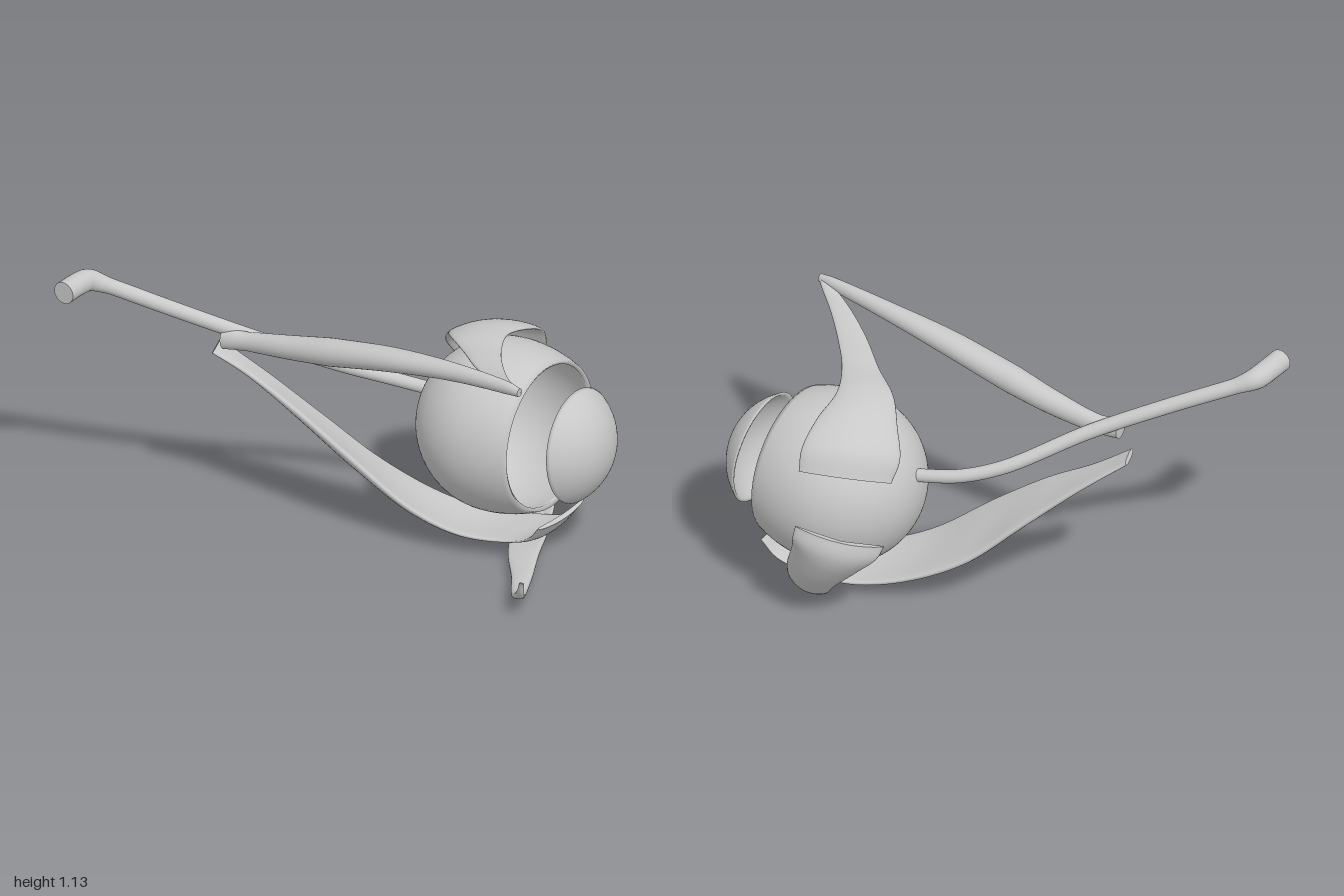
import * as THREE from 'three';

const tissue = new THREE.MeshStandardMaterial({ color: 0xc8c8c8 });
tissue.name = 'light grey';
const V = (p) => new THREE.Vector3(...p);
const GLOBE = V([0.30, 0.525, 0.49]);

function addMesh(group, name, geometry) {
  const mesh = new THREE.Mesh(geometry, tissue);
  mesh.name = name;
  group.add(mesh);
  return mesh;
}

// Muscle band swept through sections [edge, edge, half thickness, outward bow]
function band(sections, power = 0.7, steps = 56, ring = 28) {
  const c0 = new THREE.CatmullRomCurve3(sections.map((s) => V(s[0])), false, 'centripetal');
  const c1 = new THREE.CatmullRomCurve3(sections.map((s) => V(s[1])), false, 'centripetal');
  const mid = (t) => c0.getPoint(t).add(c1.getPoint(t)).multiplyScalar(0.5);
  const frame = (t, flip) => {
    const m = mid(t);
    const w = c1.getPoint(t).sub(c0.getPoint(t)).multiplyScalar(flip * 0.5);
    const tan = mid(Math.min(1, t + 0.01)).sub(mid(Math.max(0, t - 0.01)));
    return { m, w, n: tan.cross(w).normalize() };
  };
  // Keep the bowed face pointing away from the eyeball
  const test = frame(0.5, 1);
  const flip = test.n.dot(test.m.clone().sub(GLOBE)) > 0 ? 1 : -1;
  const pos = [], idx = [];
  for (let i = 0; i <= steps; i++) {
    const t = i / steps, f = t * (sections.length - 1);
    const k = Math.min(Math.floor(f), sections.length - 2);
    const mix = (q) => THREE.MathUtils.lerp(sections[k][q], sections[k + 1][q], f - k);
    const { m, w, n } = frame(t, flip);
    for (let j = 0; j < ring; j++) {
      const a = (j / ring) * Math.PI * 2, s = Math.sin(a);
      const lift = mix(2) * Math.sign(s) * Math.abs(s) ** power + mix(3) * s * s;
      const p = m.clone().addScaledVector(w, Math.cos(a)).addScaledVector(n, lift);
      pos.push(p.x, p.y, p.z);
      if (i < steps) {
        const A = i * ring + j, B = i * ring + ((j + 1) % ring);
        idx.push(A, B, A + ring, B, B + ring, A + ring);
      }
    }
  }
  // End caps with their own vertices
  for (const end of [0, steps]) {
    const base = pos.length / 3;
    pos.push(...pos.slice(end * ring * 3, (end + 1) * ring * 3));
    const { m, n } = frame(end / steps, flip);
    m.addScaledVector(n, sections[end ? sections.length - 1 : 0][3] * 0.8);
    pos.push(m.x, m.y, m.z);
    for (let j = 0; j < ring; j++) {
      const a = base + j, b = base + ((j + 1) % ring);
      idx.push(base + ring, ...(end ? [a, b] : [b, a]));
    }
  }
  const g = new THREE.BufferGeometry();
  g.setAttribute('position', new THREE.Float32BufferAttribute(pos, 3));
  g.setIndex(idx);
  g.computeVertexNormals();
  return g;
}

// Eyeball: hollow shell open at the front
function globeShell() {
  const pts = [];
  const arc = (r, reverse) => {
    for (let i = 0; i <= 40; i++) {
      const k = reverse ? 40 - i : i;
      const a = -Math.PI / 2 + (k / 40) * (Math.PI / 2 + 0.51);
      const y = Math.sin(a) * (a > 0 ? r * 1.27 : r);
      pts.push(new THREE.Vector2(Math.max(0, Math.cos(a) * r), y));
    }
  };
  arc(0.357, false);
  arc(0.34, true);
  return new THREE.LatheGeometry(pts, 64).rotateX(Math.PI / 2);
}

// Cornea: thin dome
function corneaDome() {
  const pts = [];
  const dome = (r, h, reverse) => {
    const R = (r * r + h * h) / (2 * h), span = Math.asin(r / R);
    for (let i = 0; i <= 20; i++) {
      const a = span * (reverse ? 1 - i / 20 : i / 20);
      pts.push(new THREE.Vector2(R * Math.sin(a), h - R + R * Math.cos(a)));
    }
  };
  dome(0.225, 0.112, false);
  dome(0.238, 0.13, true);
  return new THREE.LatheGeometry(pts, 56).rotateX(Math.PI / 2);
}

export function createModel() {
  const model = new THREE.Group();
  model.name = 'eyeAnatomy';

  const globe = addMesh(model, 'eyeball', globeShell());
  globe.position.copy(GLOBE);
  globe.rotation.set(-0.04, 0.05, 0);

  const cornea = addMesh(model, 'cornea', corneaDome());
  cornea.position.set(0.318, 0.535, 0.85);
  cornea.rotation.set(-0.095, 0.065, 0);
  addMesh(model, 'centrePoint', new THREE.SphereGeometry(0.004, 8, 6)).position.set(0.315, 0.525, 0.785);

  // Optic nerve: a tube that thickens towards its bent end
  const path = new THREE.CatmullRomCurve3([
    [0.24, 0.612, 0.21], [0.215, 0.62, 0.14], [0.16, 0.642, 0], [0.06, 0.69, -0.15], [-0.17, 0.83, -0.4],
    [-0.36, 0.955, -0.66], [-0.525, 1.067, -0.905], [-0.565, 1.088, -0.945], [-0.62, 1.093, -0.953], [-0.722, 1.093, -0.953],
  ].map(V), false, 'centripetal');
  const nerve = new THREE.TubeGeometry(path, 120, 1, 24);
  const pos = nerve.attributes.position, p = new THREE.Vector3();
  for (let i = 0; i < pos.count; i++) {
    const t = nerve.attributes.uv.getX(i), c = path.getPointAt(t);
    const r = 0.027 + 0.006 * t + 0.014 * THREE.MathUtils.smoothstep(t, 0.84, 0.92);
    p.fromBufferAttribute(pos, i).sub(c).multiplyScalar(r).add(c);
    pos.setXYZ(i, p.x, p.y, p.z);
  }
  nerve.computeVertexNormals();
  addMesh(model, 'opticNerve', nerve);
  addMesh(model, 'nerveRoot', new THREE.SphereGeometry(0.027, 20, 14)).position.set(0.24, 0.612, 0.21);
  const cap = addMesh(model, 'nerveEnd', new THREE.CircleGeometry(0.047, 24));
  cap.position.set(-0.722, 1.093, -0.953);
  cap.rotation.y = -Math.PI / 2;

  // Upper oblique muscle: tendon over the globe, then a belly running back
  addMesh(model, 'upperObliqueTendon', band([
    [[0.42, 0.69, 0.15], [0.625, 0.74, 0.46], 0.012, 0.04],
    [[0.36, 0.77, 0.15], [0.585, 0.82, 0.475], 0.015, 0.045],
    [[0.28, 0.86, 0.22], [0.46, 0.89, 0.49], 0.016, 0.03],
    [[0.18, 0.915, 0.31], [0.31, 0.93, 0.5], 0.014, 0.015],
    [[0.08, 0.935, 0.45], [0.16, 0.94, 0.58], 0.012, 0.005],
    [[-0.04, 0.965, 0.60], [0.02, 0.955, 0.70], 0.012, 0],
    [[-0.13, 0.995, 0.74], [-0.095, 0.985, 0.82], 0.012, 0],
    [[-0.195, 1.02, 0.87], [-0.165, 1.015, 0.91], 0.014, 0],
    [[-0.22, 1.035, 0.92], [-0.195, 1.03, 0.945], 0.012, 0],
  ]));
  const belly = [
    [-0.205, 1.03, 0.945, 0.016, 0.018], [-0.2, 1.03, 0.88, 0.022, 0.027], [-0.193, 1.01, 0.6, 0.038, 0.038],
    [-0.198, 0.97, 0.3, 0.056, 0.05], [-0.205, 0.91, 0, 0.058, 0.058], [-0.212, 0.87, -0.2, 0.048, 0.05],
    [-0.23, 0.84, -0.4, 0.034, 0.04], [-0.258, 0.835, -0.495, 0.032, 0.045],
  ];
  addMesh(model, 'upperObliqueBelly', band(
    belly.map(([x, y, z, rx, ry]) => [[x - rx, y, z], [x + rx, y, z], ry, 0]), 1));

  // Lower oblique muscle: sweeps under the globe and up its side
  addMesh(model, 'lowerObliqueMuscle', band([
    [[-0.258, 0.2, 0.995], [-0.235, 0.19, 0.98], 0.01, 0],
    [[-0.215, 0.125, 0.975], [-0.22, 0.12, 0.935], 0.014, 0],
    [[-0.13, 0.075, 0.92], [-0.16, 0.07, 0.87], 0.016, 0],
    [[0.02, 0.06, 0.84], [-0.02, 0.05, 0.765], 0.018, 0],
    [[0.2, 0.06, 0.74], [0.15, 0.035, 0.62], 0.018, 0.005],
    [[0.37, 0.075, 0.66], [0.33, 0.03, 0.50], 0.018, 0.015],
    [[0.51, 0.14, 0.59], [0.47, 0.09, 0.42], 0.018, 0.025],
    [[0.62, 0.28, 0.52], [0.55, 0.2, 0.33], 0.016, 0.035],
    [[0.685, 0.42, 0.45], [0.55, 0.32, 0.21], 0.014, 0.05],
    [[0.71, 0.48, 0.43], [0.52, 0.38, 0.15], 0.012, 0.055],
    [[0.705, 0.535, 0.42], [0.49, 0.43, 0.135], 0.009, 0.055],
  ]));

  // Lower straight muscle: cradles the globe and runs back to the socket
  addMesh(model, 'lowerStraightMuscle', band([
    [[0.14, 0.208, 0.78], [0.46, 0.2, 0.765], 0.01, 0.012],
    [[0.155, 0.13, 0.71], [0.44, 0.125, 0.7], 0.012, 0.015],
    [[0.12, 0.095, 0.57], [0.41, 0.09, 0.56], 0.014, 0.015],
    [[0.05, 0.115, 0.42], [0.36, 0.075, 0.40], 0.018, 0.025],
    [[-0.02, 0.2, 0.24], [0.28, 0.12, 0.2], 0.022, 0.03],
    [[-0.10, 0.39, 0], [0.18, 0.24, -0.03], 0.024, 0.025],
    [[-0.155, 0.55, -0.22], [0.06, 0.42, -0.22], 0.022, 0.015],
    [[-0.2, 0.67, -0.42], [-0.06, 0.61, -0.42], 0.016, 0.005],
    [[-0.265, 0.755, -0.55], [-0.155, 0.757, -0.595], 0.01, 0],
  ]));
  return model;
}
